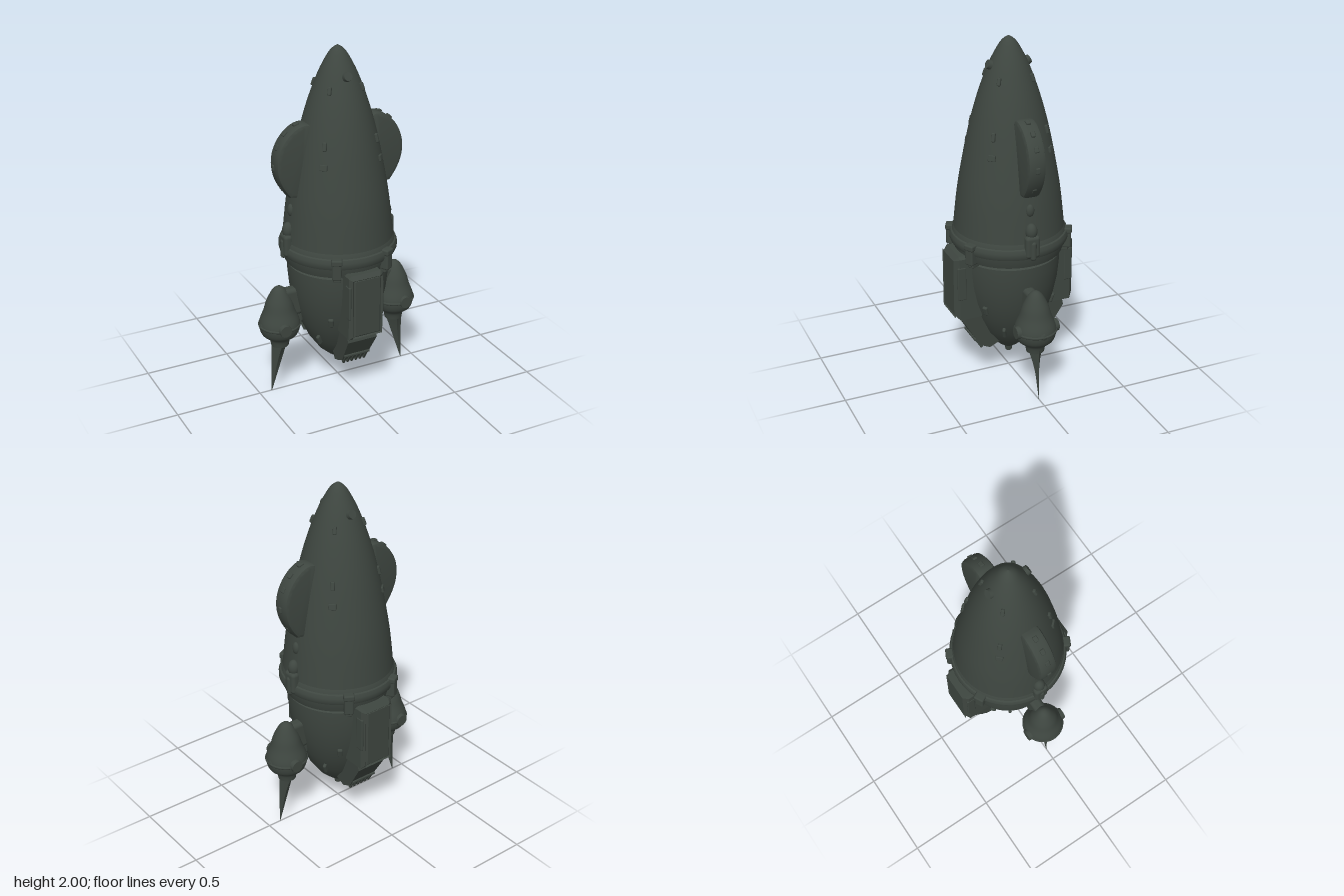
import * as THREE from 'three';
import { toCreasedNormals } from 'three/addons/utils/BufferGeometryUtils.js';
import { RoundedBoxGeometry } from 'three/addons/geometries/RoundedBoxGeometry.js';

const V = (p) => p.map(([x, y]) => new THREE.Vector2(x, y));
const UPPER = [[0.308, 0.78], [0.31, 0.92], [0.288, 1.12], [0.258, 1.3], [0.217, 1.5], [0.168, 1.68],
  [0.11, 1.84], [0.06, 1.94], [0.03, 1.98], [0, 2]];
const LOWER = [[0, 0.095], [0.018, 0.1], [0.024, 0.13], [0.06, 0.155], [0.115, 0.205], [0.175, 0.29], [0.225, 0.4],
  [0.256, 0.5], [0.276, 0.6], [0.286, 0.7], [0.287, 0.755], [0.26, 0.775], [0.26, 0.8]];

// Radius of a hull profile at height y
function radiusAt(y) {
  const p = y > 0.78 ? UPPER : LOWER;
  for (let i = 0; i < p.length - 1; i++) {
    const [r0, y0] = p[i], [r1, y1] = p[i + 1];
    if (y >= y0 && y <= y1) return r0 + (r1 - r0) * (y - y0) / (y1 - y0);
  }
  return 0;
}

export function createModel() {
  const model = new THREE.Group();
  model.name = 'rocket';
  const metal = new THREE.MeshStandardMaterial({ color: 0x3e4640 });
  metal.name = 'dark green metal';

  const add = (parent, name, geo, x = 0, y = 0, z = 0) => {
    const m = new THREE.Mesh(geo, metal);
    m.name = name;
    m.position.set(x, y, z);
    parent.add(m);
    return m;
  };
  const lathe = (pts, seg = 48) => toCreasedNormals(new THREE.LatheGeometry(V(pts), seg), 0.6);
  const disc = (r, d) => new THREE.CylinderGeometry(r * 0.85, r, d, 16).rotateX(Math.PI / 2);
  const rbox = (w, h, d, r = 0.006) => new RoundedBoxGeometry(w, h, d, 2, r);

  // Place a fitting on the hull skin, its local +z pointing outward
  const onHull = (name, geo, azimuth, y, lift = 0) => {
    const tilt = Math.atan2(radiusAt(y - 0.02) - radiusAt(y + 0.02), 0.04);
    const r = radiusAt(y) + lift;
    const m = add(model, name, geo, Math.sin(azimuth) * r, y, Math.cos(azimuth) * r);
    m.rotation.set(-tilt, azimuth, 0, 'YXZ');
    return m;
  };

  // Hull
  const nose = new THREE.SplineCurve(V(UPPER.slice(1))).getPoints(32);
  nose[nose.length - 1].x = 0;
  add(model, 'upperHull', new THREE.LatheGeometry(nose, 48));
  add(model, 'lowerHull', lathe(LOWER));
  add(model, 'skirt', lathe([[0.25, 0.775], [0.3, 0.775], [0.318, 0.83], [0.318, 0.9], [0.3, 0.93]]));
  add(model, 'collarRing', lathe([[0.31, 0.828], [0.326, 0.834], [0.333, 0.85], [0.333, 0.872], [0.326, 0.89], [0.31, 0.9]]));

  // Clamps around the collar
  for (const sx of [-1, 1]) for (const sz of [-1, 1]) {
    const clamp = new THREE.Group();
    clamp.name = 'collarClamp';
    clamp.rotation.y = Math.atan2(sx * 0.155, sz * 0.295);
    add(clamp, 'clampBody', rbox(0.052, 0.12, 0.06, 0.01), 0, 0.84, 0.322);
    add(clamp, 'clampTop', rbox(0.062, 0.035, 0.062, 0.01), 0, 0.885, 0.325);
    add(clamp, 'clampFoot', rbox(0.04, 0.03, 0.06), 0, 0.775, 0.305);
    model.add(clamp);
  }

  // Small ports and studs on the hull
  for (const a of [0, Math.PI]) onHull('nosePort', disc(0.028, 0.03), a, 1.85, 0.004);
  for (const q of [1, 3, 5, 7]) {
    const a = q * Math.PI / 4;
    onHull('noseStud', rbox(0.02, 0.045, 0.03), a, 1.78);
    onHull('hullStud', rbox(0.022, 0.05, 0.026), a, 1.5);
    onHull('hullPlate', rbox(0.042, 0.034, 0.022, 0.004), a, 1.39);
    onHull('lowerStud', rbox(0.03, 0.055, 0.03, 0.008), Math.round(a / Math.PI) * Math.PI + (q % 4 === 1 ? 0.62 : -0.62), 0.47);
    onHull('lowerFinlet', rbox(0.02, 0.065, 0.045, 0.008), a + (q % 4 === 1 ? 0.25 : -0.25), 0.32);
  }

  // Front and back hatches with vented chin
  for (const turn of [0, Math.PI]) {
    const hatch = new THREE.Group();
    hatch.name = turn ? 'backHatch' : 'frontHatch';
    hatch.rotation.y = turn;
    const frame = new THREE.Shape(V([[-0.104, 0.415], [0.104, 0.415], [0.104, 0.79], [0.09, 0.805], [-0.09, 0.805], [-0.104, 0.79]]));
    frame.holes.push(new THREE.Path(V([[-0.062, 0.46], [-0.062, 0.755], [0.062, 0.755], [0.062, 0.46]])));
    const frameGeo = new THREE.ExtrudeGeometry(frame, { depth: 0.13, bevelThickness: 0.026, bevelSize: 0.03, bevelOffset: -0.03, bevelSegments: 1 });
    add(hatch, 'hatchFrame', frameGeo, 0, 0, 0.208);
    add(hatch, 'recessFloor', new THREE.BoxGeometry(0.15, 0.32, 0.05), 0, 0.607, 0.275);
    for (const s of [-1, 1]) {
      add(hatch, 'sideRail', rbox(0.014, 0.2, 0.05), s * 0.1, 0.64, 0.325);
      add(hatch, 'recessKnob', rbox(0.018, 0.024, 0.02), s * 0.025, 0.5 + s * 0.015, 0.305);
    }
    add(hatch, 'recessButton', disc(0.012, 0.02), 0.015, 0.57, 0.305);
    add(hatch, 'recessPanel', rbox(0.05, 0.1, 0.02), -0.01, 0.67, 0.3);

    // Wedge chin, drawn as (z, y) and turned to face forward
    const chin = new THREE.Shape(V([[0.08, 0.22], [0.15, 0.185], [0.21, 0.215], [0.306, 0.375], [0.296, 0.42], [0.15, 0.42]]));
    const chinGeo = new THREE.ExtrudeGeometry(chin, { depth: 0.18, bevelEnabled: false });
    chinGeo.translate(0, 0, -0.09).rotateY(-Math.PI / 2);
    const p = chinGeo.attributes.position;
    for (let i = 0; i < p.count; i++) p.setX(i, p.getX(i) * (0.85 + (p.getY(i) - 0.18) * 0.8));
    chinGeo.computeVertexNormals();
    add(hatch, 'chin', chinGeo);
    for (let i = 0; i < 6; i++) {
      const rib = add(hatch, 'ventRib', new THREE.BoxGeometry(0.012, 0.065, 0.016), (i - 2.5) * 0.026, 0.222, 0.213);
      rib.rotation.x = 0.54;
    }
    add(hatch, 'ventSill', rbox(0.16, 0.014, 0.022, 0.004), 0, 0.255, 0.235);
    model.add(hatch);
  }

  // Both sides: blister fin, side latch and engine pod
  for (const side of [1, -1]) {
    const group = new THREE.Group();
    group.name = side > 0 ? 'leftSide' : 'rightSide';
    group.rotation.y = side > 0 ? 0 : Math.PI;

    const fin = new THREE.Shape();
    fin.moveTo(0.15, 1.58);
    fin.lineTo(0.21, 1.6);
    fin.bezierCurveTo(0.29, 1.6, 0.385, 1.5, 0.385, 1.385);
    fin.bezierCurveTo(0.385, 1.3, 0.345, 1.24, 0.305, 1.19);
    fin.lineTo(0.24, 1.18);
    const finGeo = new THREE.ExtrudeGeometry(fin, { depth: 0.06, bevelThickness: 0.022, bevelSize: 0.02, bevelOffset: -0.02, bevelSegments: 2, curveSegments: 14 });
    add(group, 'blisterFin', toCreasedNormals(finGeo.translate(0, 0, -0.03), 0.7));
    for (const [x, y, t] of [[0.25, 1.593, 1.3], [0.315, 1.55, 0.8], [0.36, 1.48, 0.45], [0.383, 1.37, 0], [0.335, 1.24, -0.6]]) {
      add(group, 'finLamp', rbox(0.018, 0.034, 0.026), x, y, 0).rotation.z = t;
    }

    // Bumps and latch below the fin
    add(group, 'ovalBump', new THREE.SphereGeometry(0.03, 16, 12).scale(0.6, 1.2, 0.8), 0.287, 1.105, 0);
    add(group, 'latchHead', new THREE.SphereGeometry(0.042, 16, 12).scale(0.8, 1.1, 0.8), 0.305, 0.99, 0);
    add(group, 'latchBody', rbox(0.05, 0.13, 0.085, 0.02), 0.318, 0.905, 0);
    add(group, 'latchPin', new THREE.CapsuleGeometry(0.018, 0.08, 4, 12), 0.334, 0.885, 0);

    // Engine pod
    const body = new THREE.SplineCurve(V([[0.05, 0.29], [0.062, 0.335], [0.1, 0.365], [0.116, 0.41], [0.113, 0.45],
      [0.09, 0.51], [0.072, 0.57], [0.042, 0.63], [0.018, 0.655], [0, 0.66]])).getPoints(36);
    body[body.length - 1].x = 0;
    add(group, 'podBody', new THREE.LatheGeometry(body, 32), 0.368, 0, 0);
    add(group, 'podBand', new THREE.TorusGeometry(0.113, 0.009, 8, 36).rotateX(Math.PI / 2), 0.368, 0.425, 0);
    for (const s of [-1, 1]) {
      const cap = add(group, 'podCap', disc(0.04, 0.04), 0.383, 0.432, s * 0.107);
      if (s < 0) cap.rotation.y = Math.PI;
    }
    add(group, 'podOuterBump', new THREE.SphereGeometry(0.045, 16, 12), 0.443, 0.425, 0);
    add(group, 'podArm', rbox(0.13, 0.17, 0.07, 0.025), 0.295, 0.55, 0);
    add(group, 'podArmFoot', rbox(0.1, 0.09, 0.05, 0.02), 0.275, 0.45, 0);

    // Landing spike: a four-sided taper leaning outward
    const spike = new THREE.CylinderGeometry(1, 0.03, 1, 4, 8, false).translate(0, 0.5, 0);
    const q = spike.attributes.position;
    for (let i = 0; i < q.count; i++) {
      const t = q.getY(i);
      q.setXYZ(i, 0.425 - 0.055 * t + q.getX(i) * 0.052, t * 0.31, q.getZ(i) * (0.012 + 0.035 * t * t));
    }
    add(group, 'landingSpike', toCreasedNormals(spike, 0.5));
    model.add(group);
  }
  return model;
}
